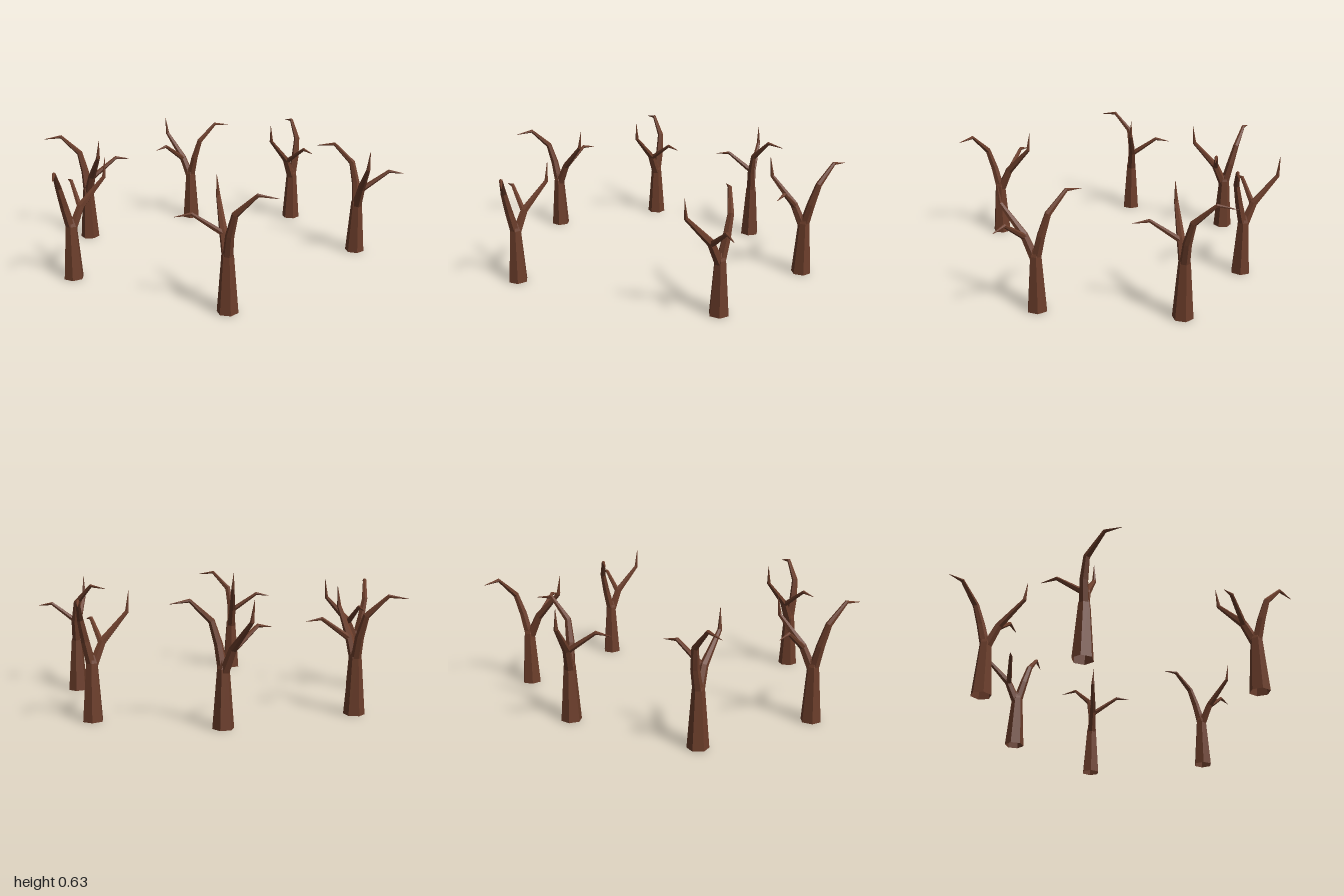
import * as THREE from 'three';

const SIDES = 6;

// Tapered six-sided limb swept along points [x, y, z, radius]; open at both ends.
function limbGeometry(path) {
  const pts = path.map(p => new THREE.Vector3(p[0], p[1], p[2]));
  const last = pts.length - 1;
  const pos = [], idx = [];
  const u = new THREE.Vector3(1, 0, 0), v = new THREE.Vector3();
  pts.forEach((p, i) => {
    const t = new THREE.Vector3();
    if (i > 0) t.add(p.clone().sub(pts[i - 1]).normalize());
    if (i < last) t.add(pts[i + 1].clone().sub(p).normalize());
    t.normalize();
    // carry the ring frame along without twisting
    u.addScaledVector(t, -u.dot(t)).normalize();
    v.crossVectors(t, u);
    for (let k = 0; k < SIDES; k++) {
      const a = ((k + 0.5) / SIDES) * Math.PI * 2;
      const q = p.clone()
        .addScaledVector(u, Math.cos(a) * path[i][3])
        .addScaledVector(v, Math.sin(a) * path[i][3]);
      pos.push(q.x, q.y, q.z);
    }
  });
  for (let i = 0; i < last; i++) {
    for (let k = 0; k < SIDES; k++) {
      const a = i * SIDES + k, b = i * SIDES + (k + 1) % SIDES;
      idx.push(a, b, b + SIDES, a, b + SIDES, a + SIDES);
    }
  }
  const g = new THREE.BufferGeometry();
  g.setAttribute('position', new THREE.Float32BufferAttribute(pos, 3));
  g.setIndex(idx);
  const flat = g.toNonIndexed();
  flat.computeVertexNormals();
  return flat;
}

// Limbs of one bare tree, each a short tapering path
const LIMBS = {
  trunk: [[0, 0, 0, 0.054], [0, 0.29, 0, 0.031], [0, 0.33, 0, 0.016]],
  longBranch: [
    [0, 0.25, 0.005, 0.027], [0, 0.4, -0.033, 0.022], [-0.016, 0.51, -0.064, 0.017],
    [-0.108, 0.61, -0.117, 0.01], [-0.196, 0.597, -0.158, 0.001],
  ],
  hookedBranch: [
    [0, 0.25, -0.005, 0.027], [0.003, 0.39, 0.06, 0.021],
    [-0.01, 0.53, 0.192, 0.011], [-0.006, 0.632, 0.204, 0.001],
  ],
  sideBranch: [
    [0.003, 0.38, 0.056, 0.016], [0.155, 0.487, 0.075, 0.01], [0.236, 0.474, 0.089, 0.001],
  ],
};

// Tree placements: x, z, turn in degrees from +x towards +z
const TREES = [
  [-0.091, -0.748, 134],
  [0.553, -0.634, 54],
  [0.764, 0.053, 0],
  [-0.109, 0.773, 173],
  [-0.842, 0.208, -113],
  [-0.75, -0.453, -23],
];

export function createModel() {
  // double-sided because the trunks are open underneath
  const bark = new THREE.MeshStandardMaterial({ color: 0x6b3d2a, side: THREE.DoubleSide });
  bark.name = 'bark brown';
  bark.flatShading = true;

  const geometries = Object.entries(LIMBS).map(([name, path]) => [name, limbGeometry(path)]);
  const model = new THREE.Group();
  model.name = 'bareTrees';
  for (const [x, z, turn] of TREES) {
    const tree = new THREE.Group();
    tree.name = 'bareTree';
    for (const [name, geometry] of geometries) {
      const limb = new THREE.Mesh(geometry, bark);
      limb.name = name;
      tree.add(limb);
    }
    tree.position.set(x, 0, z);
    tree.rotation.y = -THREE.MathUtils.degToRad(turn);
    model.add(tree);
  }
  return model;
}
